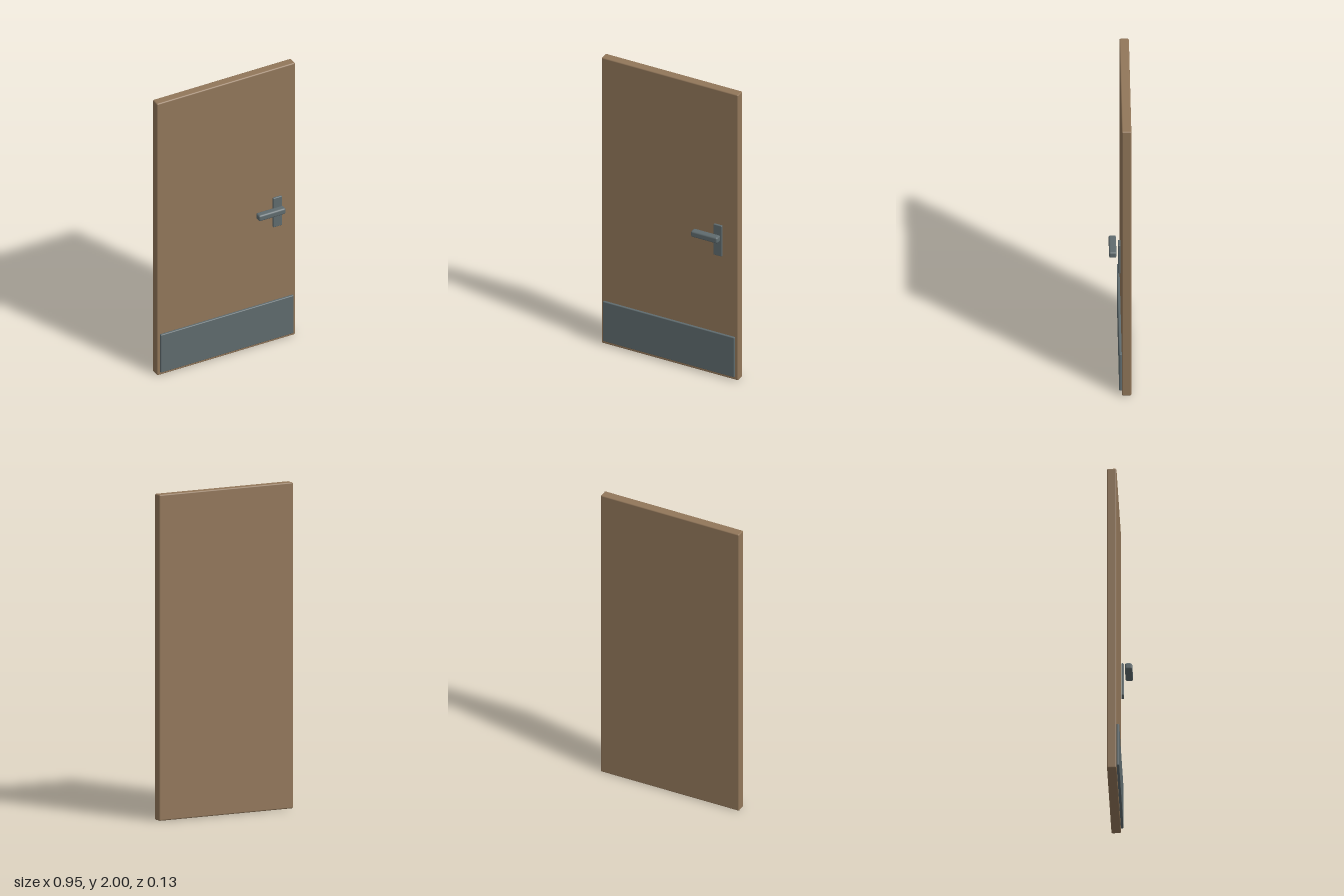
import * as THREE from 'three';
import { RoundedBoxGeometry } from 'three/addons/geometries/RoundedBoxGeometry.js';

export function createModel() {
  const wood = new THREE.MeshStandardMaterial({ color: 0x92775a });
  wood.name = 'brown wood';
  const metal = new THREE.MeshStandardMaterial({ color: 0x5f6b6e });
  metal.name = 'grey metal';

  const door = new THREE.Group();
  door.name = 'door';

  // Softly rounded block given by its extents on each axis
  function block(name, material, [x0, x1], [y0, y1], [z0, z1], radius) {
    const geometry = new RoundedBoxGeometry(x1 - x0, y1 - y0, z1 - z0, 2, radius);
    const mesh = new THREE.Mesh(geometry, material);
    mesh.name = name;
    mesh.position.set((x0 + x1) / 2, (y0 + y1) / 2, (z0 + z1) / 2);
    door.add(mesh);
  }

  // Door leaf
  block('doorLeaf', wood, [-0.473, 0.473], [0, 2], [-0.067, -0.009], 0.008);
  // Protective plate along the bottom
  block('kickPlate', metal, [-0.455, 0.455], [0.025, 0.303], [-0.01, 0.007], 0.005);
  // Handle backplate and the lever standing in front of it
  block('handlePlate', metal, [0.312, 0.372], [0.85, 1.065], [-0.003, 0.012], 0.005);
  block('handleLever', metal, [0.186, 0.37], [0.966, 1.008], [0.022, 0.067], 0.011);

  return door;
}
